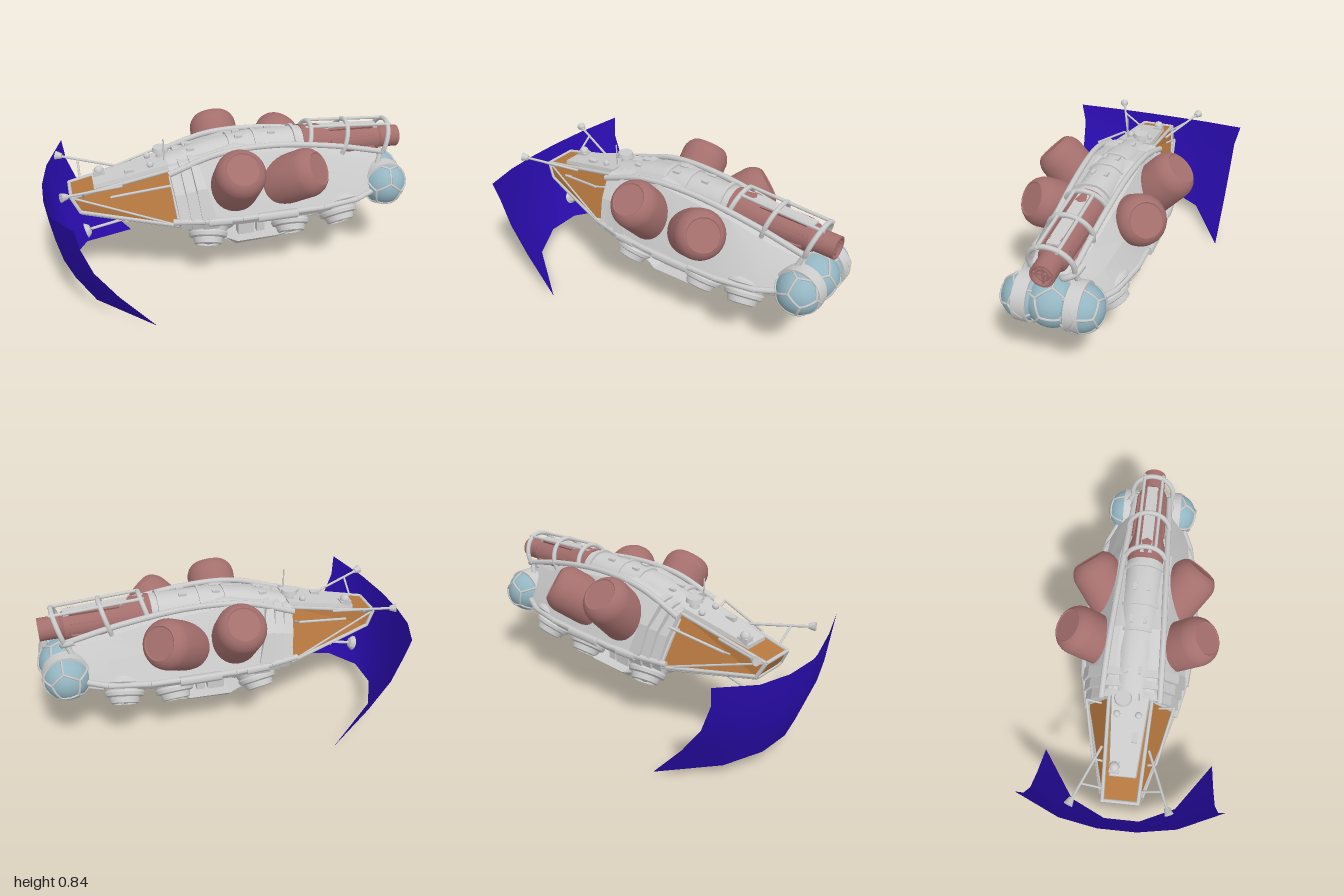
import * as THREE from 'three';
import { toCreasedNormals } from 'three/addons/utils/BufferGeometryUtils.js';

const mat = (color, side = THREE.FrontSide) => new THREE.MeshStandardMaterial({ color, side });
const grey = mat(0xcccccc), red = mat(0xa46f6d), orange = mat(0xb5773f), glass = mat(0x94b6c2);
const blue = mat(0x2a0cae, THREE.DoubleSide), greyThin = mat(0xcccccc, THREE.DoubleSide);
const V = (x, y, z) => new THREE.Vector3(x, y, z);
const UP = V(0, 1, 0);

export function createModel() {
  const root = new THREE.Group();
  const add = (name, geo, material = grey, pos = V(0, 0, 0), dir = null) => {
    const m = new THREE.Mesh(geo, material);
    m.name = name;
    m.position.copy(pos);
    if (dir) m.quaternion.setFromUnitVectors(UP, dir.clone().normalize());
    root.add(m);
    return m;
  };
  // round bar between two points
  const bar = (name, a, b, r, sides = 8) => add(name,
    new THREE.CylinderGeometry(r, r, a.distanceTo(b), sides), grey,
    a.clone().add(b).multiplyScalar(0.5), b.clone().sub(a));
  const tube = (name, pts, r) => add(name,
    new THREE.TubeGeometry(new THREE.CatmullRomCurve3(pts), 32, r, 8));
  const box = (name, x, y, z, w, h, d, material = grey, tilt = 0) => {
    const m = add(name, new THREE.BoxGeometry(w, h, d), material, V(x, y, z));
    m.rotation.z = tilt;
    return m;
  };
  const lathe = (pts, n = 32) => toCreasedNormals(
    new THREE.LatheGeometry(pts.map(p => new THREE.Vector2(...p)), n), 0.6);
  const both = fn => [1, -1].forEach(fn);

  // mirrored cross-sections along x: [x, lean, [z, y] from top to bottom...]
  const loft = (name, sections, material, crease = 0.2) => {
    const rings = sections.map(([x, lean, ...half]) =>
      [...half, ...half.slice().reverse().map(([z, y]) => [-z, y])]
        .map(([z, y]) => [x + lean * (half[0][1] - y), y, z]));
    const n = rings[0].length, idx = [], last = (rings.length - 1) * n;
    for (let i = 0; i < rings.length - 1; i++) for (let j = 0; j < n; j++) {
      const a = i * n + j, b = i * n + (j + 1) % n;
      idx.push(a, b, b + n, a, b + n, a + n);
    }
    for (let j = 1; j < n - 1; j++) idx.push(0, j + 1, j, last, last + j, last + j + 1);
    const g = new THREE.BufferGeometry();
    g.setAttribute('position', new THREE.Float32BufferAttribute(rings.flat(2), 3));
    g.setIndex(idx);
    return add(name, toCreasedNormals(g, crease), material);
  };

  // main hull
  const hull = [
    [-0.36, 0.1, [0.09, 0.69], [0.11, 0.68], [0.18, 0.57], [0.235, 0.45], [0.2, 0.4], [0.08, 0.39]],
    [-0.2, 0, [0.09, 0.74], [0.13, 0.73], [0.2, 0.62], [0.27, 0.45], [0.24, 0.4], [0.1, 0.37]],
    [0, 0, [0.09, 0.785], [0.15, 0.77], [0.22, 0.63], [0.29, 0.45], [0.26, 0.4], [0.1, 0.37]],
    [0.45, 0, [0.09, 0.74], [0.14, 0.72], [0.21, 0.6], [0.28, 0.45], [0.25, 0.4], [0.1, 0.37]],
    [0.66, 0, [0.07, 0.67], [0.11, 0.65], [0.18, 0.56], [0.24, 0.45], [0.21, 0.41], [0.1, 0.38]],
    [0.84, 0, [0.05, 0.62], [0.07, 0.6], [0.12, 0.54], [0.16, 0.47], [0.14, 0.43], [0.06, 0.41]]];
  loft('hull', hull, grey);
  // stepped collar plates
  [-0.355, -0.3, -0.245].forEach((x, i) => {
    const s = 0.017 * i, w = 0.014 * i, sec = [[0.1, 0.705 + s], [0.14 + w / 2, 0.695 + s], [0.21 + w, 0.59 + s],
      [0.25 + w, 0.465], [0.225 + w, 0.39], [0.09, 0.375]];
    loft('collarPlate', [[x, 0.12, ...sec], [x + 0.04, 0.25, ...sec]], grey);
  });
  both(s => {
    for (let i = 0; i < hull.length - 1; i++) {
      const p = k => V(hull[i + k][0], hull[i + k][5][1], s * hull[i + k][5][0]);
      bar('hullLip', p(0), p(1), 0.016);
    }
    bar('sideBlister', V(0.08, 0.445, s * 0.29), V(0.3, 0.445, s * 0.29), 0.025, 6);
    bar('sideBlister', V(-0.18, 0.445, s * 0.275), V(-0.06, 0.445, s * 0.285), 0.022, 6);
    tube('shoulderRail', [V(-0.36, 0.685, s * 0.15), V(-0.1, 0.765, s * 0.14), V(0.2, 0.775, s * 0.125),
      V(0.55, 0.725, s * 0.11), V(0.85, 0.65, s * 0.095)], 0.016);
  });

  // tapered tail section with edge beams
  const tail = [
    [-0.86, 0.5, [0.09, 0.585], [0.105, 0.505], [0.09, 0.49]],
    [-0.35, 0.08, [0.11, 0.69], [0.235, 0.425], [0.19, 0.395]]];
  loft('tailPanels', tail, orange);
  both(s => {
    const p = (k, i, f = s) => {
      const [x, lean, ...h] = tail[k];
      return V(x + lean * (h[0][1] - h[i][1]), h[i][1], f * h[i][0]);
    };
    for (let i = 0; i < 3; i++) bar('tailEdgeBeam', p(0, i), p(1, i), 0.01, 6);
    for (let i = 0; i < 2; i++) bar('tailEndBeam', p(0, i), p(0, i + 1), 0.01, 6);
    bar('tailBrace', p(0, 0), p(1, 1), 0.006, 6);
    bar('tailHandrail', V(-0.66, 0.6, s * 0.16), V(-0.37, 0.66, s * 0.225), 0.007);
    [0, 1].forEach(t => bar('handrailPost', V(-0.66 + 0.29 * t, 0.6 + 0.06 * t, s * (0.16 + 0.065 * t)),
      V(-0.66 + 0.29 * t, 0.57 + 0.05 * t, s * (0.11 + 0.04 * t)), 0.006));
    bar('tailKeelBeam', V(-0.8, 0.49, s * 0.04), V(-0.34, 0.395, s * 0.08), 0.01, 6);
    if (s > 0) for (let i = 0; i < 3; i += 2) bar('tailCrossBeam', p(0, i), p(0, i, -1), 0.01, 6);
  });
  bar('tailBellyBeam', V(-0.59, 0.442, -0.145), V(-0.59, 0.442, 0.145), 0.009);
  loft('tailDeck', [[-0.74, 0, [0.065, 0.63], [0.075, 0.59]], [-0.35, 0, [0.095, 0.715], [0.105, 0.67]]], grey);

  // rounded spine with panel ribs
  const arc = (r, cy, n = 7) => Array.from({ length: n }, (_, i) => {
    const a = (0.08 + 0.42 * i / (n - 1)) * Math.PI;
    return [r * Math.sin(a), cy + r * Math.cos(a)];
  });
  const spine = [[-0.36, 0.1, 0.62], [-0.12, 0.105, 0.685], [0.1, 0.11, 0.705], [0.42, 0.1, 0.71]];
  loft('spine', spine.map(([x, r, y]) => [x, 0, ...arc(r, y)]), grey, 0.5);
  [[-0.02, 0.695], [0.12, 0.706], [0.34, 0.708]].forEach(([x, y]) =>
    loft('spineRib', [[x, 0, ...arc(0.116, y)], [x + 0.018, 0, ...arc(0.116, y)]], grey, 0.5));
  both(s => [[-0.22, 0.76], [0.04, 0.805], [0.22, 0.81]].forEach(([x, y]) =>
    box('spineHatch', x, y, s * 0.035, 0.04, 0.014, 0.018)));

  // rear engine
  const axis = V(1, -0.035, 0);
  add('engine', lathe([[0, 0], [0.1, 0], [0.1, 0.1], [0.082, 0.17], [0.075, 0.45], [0.06, 0.47],
    [0.06, 0.58], [0.05, 0.58], [0.045, 0.53], [0, 0.53]], 24), red, V(0.39, 0.715, 0), axis);
  for (let i = 0; i < 8; i++) {
    const a = (i + 0.5) * Math.PI / 4;
    const fin = box('engineFin', 0.68, 0.705 + 0.075 * Math.cos(a), 0.075 * Math.sin(a), 0.26, 0.03, 0.014, red);
    fin.rotation.set(a, 0, -0.035);
  }
  box('engineGrille', 0.955, 0.697, 0, 0.012, 0.1, 0.012, red);
  box('engineGrille', 0.955, 0.697, 0, 0.012, 0.012, 0.1, red);
  add('engineGrilleRing', new THREE.TorusGeometry(0.03, 0.006, 6, 20), red, V(0.957, 0.697, 0)).rotation.y = Math.PI / 2;
  box('engineTopStrip', 0.63, 0.79, 0, 0.42, 0.016, 0.06, grey, -0.07);
  // guard hoops and rails
  [[0.44, 0.715], [0.65, 0.705], [0.89, 0.685]].forEach(([x, y]) => {
    const pts = Array.from({ length: 13 }, (_, i) => {
      const a = (i / 12 - 0.5) * Math.PI * 1.2;
      return V(x - 0.03 + 0.035 * Math.cos(a), y + 0.115 * Math.cos(a), 0.112 * Math.sin(a));
    });
    tube('guardHoop', pts, 0.013);
  });
  both(s => {
    bar('guardRail', V(0.44, 0.823, s * 0.05), V(0.91, 0.79, s * 0.05), 0.009);
    bar('hoopStrut', V(0.84, 0.64, s * 0.1), V(0.8, 0.54, s * 0.13), 0.014);
  });

  // side tanks with rounded shoulders
  const tankGeo = lathe([[0, 0], [0.11, 0], [0.126, 0.015], [0.131, 0.035], [0.131, 0.23], [0.127, 0.252],
    [0.116, 0.276], [0.1, 0.294], [0.088, 0.302], [0.083, 0.297], [0, 0.297]]);
  both(s => {
    add('sideTank', tankGeo, red, V(-0.02, 0.556, s * 0.156), V(0, 0.73, s * 0.68));
    add('sideTank', tankGeo, red, V(0.205, 0.55, s * 0.135), V(0.65, 0.5, s * 0.56));
  });

  // belly thrusters
  const thrusterGeo = lathe([[0.1, -0.07], [0.13, -0.012], [0.14, 0], [0.14, 0.014], [0.118, 0.028],
    [0.112, 0.022], [0.1, 0.05], [0.106, 0.06], [0.1, 0.078], [0.082, 0.085], [0.074, 0.115], [0.062, 0.12], [0.058, 0.09],
    [0.042, 0.09], [0.036, 0.112], [0, 0.12]], 28);
  both(s => [[-0.15, 0.35, 0.12, -0.15], [0.31, 0.36, 0.12, -0.05], [0.57, 0.4, 0.145, 0.12]].forEach(([x, y, z, lean]) =>
    add('bellyThruster', thrusterGeo, greyThin, V(x, y, s * z), V(lean, -0.77, s * 0.62))));

  // belly platform on columns
  loft('bellyPlatform', [[-0.07, 0, [0.17, 0.275], [0.17, 0.265]], [0.0, 0, [0.19, 0.25], [0.14, 0.205]],
    [0.22, 0, [0.19, 0.255], [0.14, 0.215]], [0.33, 0, [0.17, 0.275], [0.17, 0.255]]], grey);
  both(s => {
    box('platformColumn', 0.065, 0.33, s * 0.1, 0.09, 0.18, 0.05);
    box('platformColumn', 0.15, 0.33, s * 0.1, 0.045, 0.18, 0.04);
    tube('bellyPipe', [V(0.3, 0.27, s * 0.06), V(0.5, 0.29, s * 0.06), V(0.7, 0.325, s * 0.06), V(0.86, 0.385, s * 0.05)], 0.014);
  });
  box('keelBox', 0.48, 0.33, 0, 0.5, 0.1, 0.055, grey, 0.15);

  // cockpit domes: glass with a lattice of large pentagonal frames
  const dode = new THREE.DodecahedronGeometry(1, 0).attributes.position, knots = [];
  for (let i = 0; i < dode.count; i++) {
    const p = new THREE.Vector3().fromBufferAttribute(dode, i);
    if (!knots.some(q => q.distanceTo(p) < 0.01)) knots.push(p);
  }
  const paneNormal = V(0, 1, (1 + Math.sqrt(5)) / 2).normalize();
  const dome = (x, y, z, r, face) => {
    const q = new THREE.Quaternion().setFromUnitVectors(paneNormal, face.normalize());
    const c = V(x, y, z), pts = knots.map(k => k.clone().applyQuaternion(q));
    add('cockpitGlass', new THREE.SphereGeometry(r * 0.975, 28, 18), glass, c);
    pts.forEach((a, i) => pts.slice(i + 1).forEach(b => {
      if (a.distanceTo(b) > 0.75) return;
      const arcPts = [0, 0.25, 0.5, 0.75, 1].map(t =>
        a.clone().lerp(b, t).normalize().multiplyScalar(r * 0.985).add(c));
      add('cockpitFrame', new THREE.TubeGeometry(new THREE.CatmullRomCurve3(arcPts), 6, 0.0065, 5));
    }));
  };
  dome(0.865, 0.482, 0, 0.13, V(1, 0.1, 0));
  both(s => {
    dome(0.86, 0.475, s * 0.135, 0.123, V(0.6, 0.1, s));
    add('cockpitBand', new THREE.CylinderGeometry(0.126, 0.126, 0.07, 32), grey, V(0.858, 0.478, s * 0.128), V(0, 0, 1));
  });
  tube('cockpitPipe', [V(0.82, 0.6, -0.03), V(0.86, 0.62, -0.06), V(0.85, 0.65, -0.11), V(0.8, 0.67, -0.13)], 0.016);

  // tail deck fittings and mast
  add('mastBase', new THREE.CylinderGeometry(0.02, 0.03, 0.06, 16), grey, V(-0.37, 0.715, -0.035));
  add('mastDome', new THREE.CylinderGeometry(0.04, 0.045, 0.022, 20), grey, V(-0.37, 0.75, -0.035));
  bar('mast', V(-0.365, 0.72, 0.045), V(-0.365, 0.84, 0.045), 0.004);
  add('deckDome', new THREE.SphereGeometry(0.026, 16, 10), grey, V(-0.7, 0.658, -0.045));
  box('deckBox', -0.7, 0.64, -0.045, 0.06, 0.03, 0.05);
  box('deckBox', -0.55, 0.675, 0.04, 0.05, 0.025, 0.03);
  [-0.06, 0.05].forEach(z => add('deckKnob', new THREE.SphereGeometry(0.018, 12, 8), grey, V(-0.44, 0.705, z)));

  // antenna booms
  both(s => {
    bar('boom', V(-0.9, 0.675, s * 0.24), V(-0.6, 0.635, s * 0.12), 0.007);
    bar('boomBrace', V(-0.8, 0.66, s * 0.2), V(-0.8, 0.58, s * 0.09), 0.006);
    add('boomTip', new THREE.CylinderGeometry(0.014, 0.024, 0.035, 12), grey, V(-0.895, 0.675, s * 0.24), V(1, -0.1, -s * 0.4));
  });
  bar('dishBoom', V(-0.77, 0.335, 0), V(-0.38, 0.41, 0), 0.008);
  add('dish', lathe([[0, 0], [0.025, 0.008], [0.042, 0.03]], 20), greyThin, V(-0.77, 0.335, 0), V(-1, -0.3, 0));

  // curved sail: middle and outer edge columns, blended across
  const mid = [[-1, 0.585], [-0.985, 0.47], [-0.965, 0.35], [-0.935, 0.22], [-0.885, 0.1]];
  const edge = [[-0.87, 0.64, 0.52], [-0.855, 0.53, 0.495], [-0.8, 0.375, 0.49], [-0.69, 0.215, 0.49], [-0.51, 0, 0.49]];
  const grid = [], cells = [];
  mid.forEach(([x, y], i) => [-1, -0.6, -0.2, 0.2, 0.6, 1].forEach((u, j) => {
    const t = [1, 0.25, 0][Math.min(j, 5 - j)], [ex, ey, ez] = edge[i];
    grid.push(x + (ex - x) * t, y + (ey - y) * t, Math.abs(u) === 1 ? u * ez : u * 0.49);
    if (i < 4 && j < 5) {
      const a = i * 6 + j;
      cells.push(a, a + 6, a + 1, a + 1, a + 6, a + 7);
    }
  }));
  const sail = new THREE.BufferGeometry();
  sail.setAttribute('position', new THREE.Float32BufferAttribute(grid, 3));
  sail.setIndex(cells);
  sail.computeVertexNormals();
  add('sail', sail, blue);
  return root;
}
